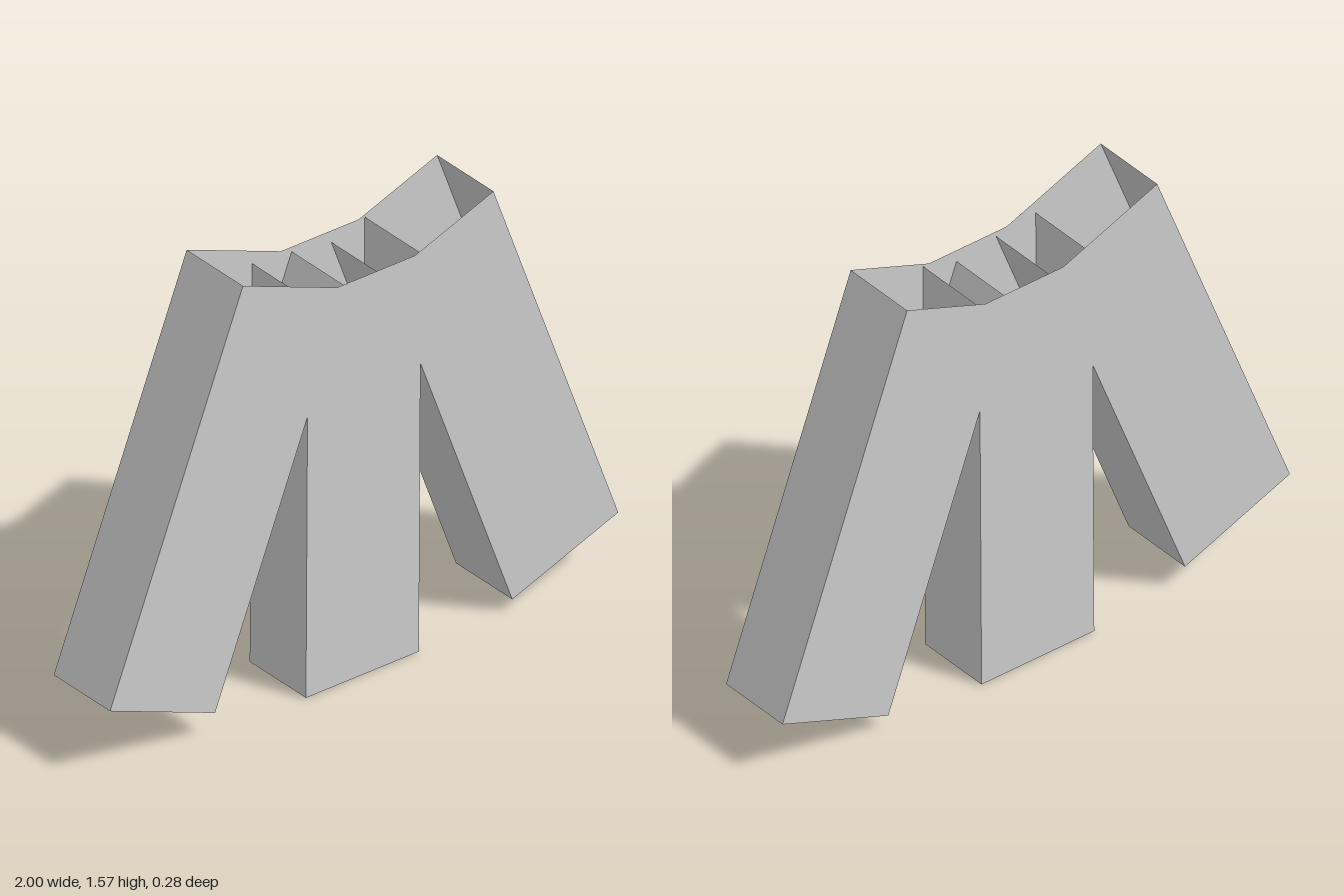
import * as THREE from 'three';

const WIDTH = 0.444, HEIGHT = 1.424, DEPTH = 0.275;

// Box without its top face, so the inside walls and floor can be seen
function openBox(width, height, depth) {
  const geometry = new THREE.BoxGeometry(width, height, depth);
  const top = geometry.groups[2];
  const index = Array.from(geometry.index.array);
  index.splice(top.start, top.count);
  geometry.setIndex(index);
  geometry.clearGroups();
  return geometry;
}

export function createModel() {
  const group = new THREE.Group();
  group.name = 'openTopTubes';
  const material = new THREE.MeshStandardMaterial({
    color: 0xcccccc, flatShading: true, side: THREE.DoubleSide,
  });
  const geometry = openBox(WIDTH, HEIGHT, DEPTH);

  // Three overlapping open boxes fanned out: name, centre x, centre y, tilt
  const boxes = [
    ['rightBox', -0.532, 0.829, -0.376],
    ['middleBox', -0.003, 0.714, -0.006],
    ['leftBox', 0.545, 0.793, 0.352],
  ];
  for (const [name, x, y, tilt] of boxes) {
    const box = new THREE.Mesh(geometry, material);
    box.name = name;
    box.position.set(x, y, 0);
    box.rotation.z = tilt;
    group.add(box);
  }
  return group;
}
